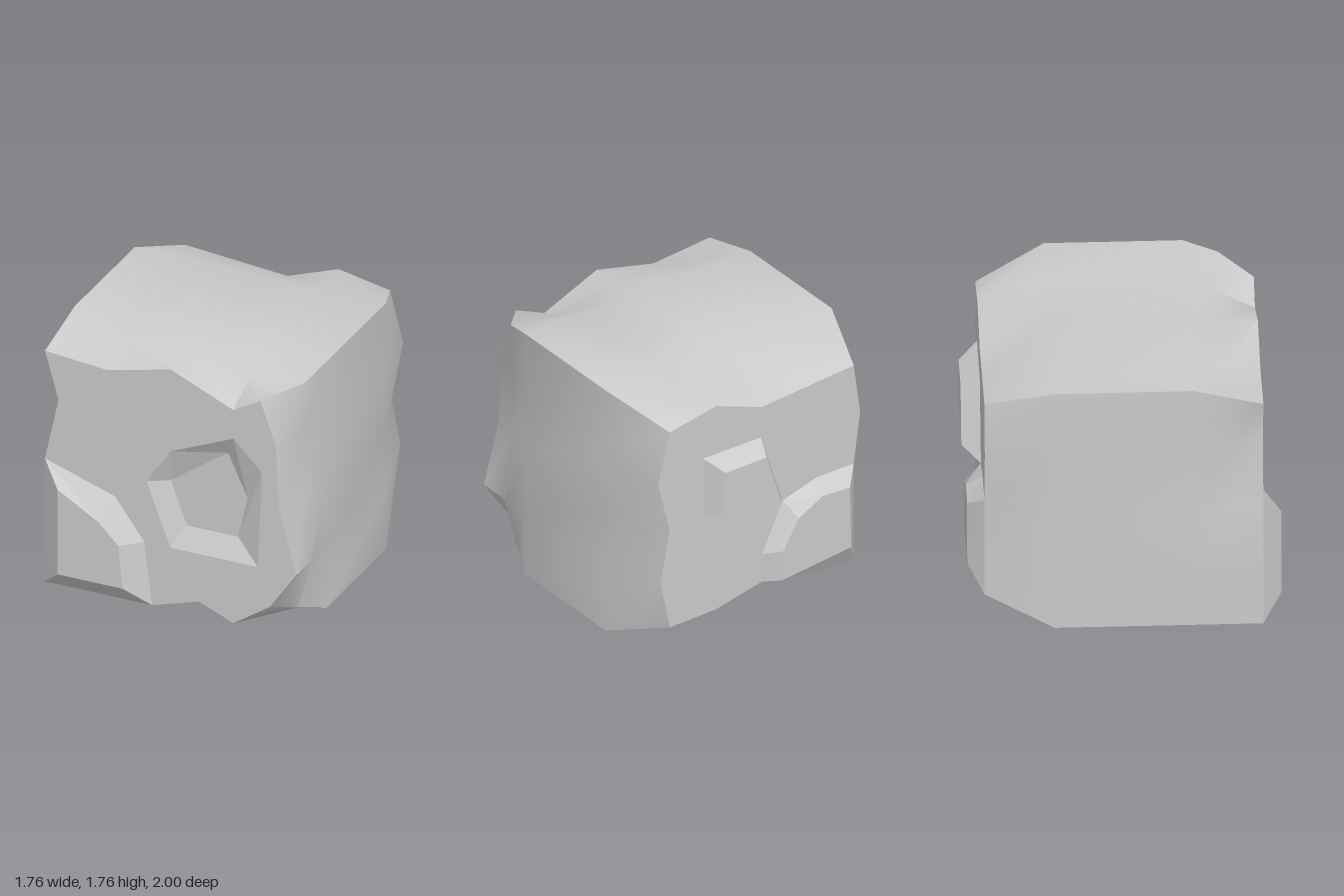
import * as THREE from 'three';
import { toCreasedNormals } from 'three/addons/utils/BufferGeometryUtils.js';

const material = new THREE.MeshStandardMaterial({ color: 0xcccccc });

// Lifts a 2D outline (counter-clockwise seen from +z) to depth z.
const ring = (points, z) => points.map(([x, y]) => new THREE.Vector3(x, y, z));

function toGeometry(triangles) {
  const geometry = new THREE.BufferGeometry().setFromPoints(triangles);
  geometry.computeVertexNormals();
  return geometry;
}

// Wall between two rings of equal length.
function band(a, b) {
  const out = [];
  a.forEach((p, i) => {
    const j = (i + 1) % a.length;
    out.push(p, b[i], b[j], p, b[j], a[j]);
  });
  return out;
}

// Flat face filling a ring, facing +z or -z.
function cap(outline, facing, holes = []) {
  const flat = (r) => r.map((p) => new THREE.Vector2(p.x, p.y));
  const all = [outline, ...holes].flat();
  const out = [];
  for (const [a, b, c] of THREE.ShapeUtils.triangulateShape(flat(outline), holes.map(flat))) {
    const [p, q, r] = [all[a], all[b], all[c]];
    const area = (q.x - p.x) * (r.y - p.y) - (q.y - p.y) * (r.x - p.x);
    out.push(p, ...(area * facing > 0 ? [q, r] : [r, q]));
  }
  return out;
}

export function createModel() {
  const group = new THREE.Group();
  const add = (name, geometry) => {
    const mesh = new THREE.Mesh(geometry, material);
    mesh.name = name;
    group.add(mesh);
  };

  // Outlines of the block: chipped front, square middle, narrowed back.
  const S = 0.88;
  const frontOutline = [
    [-S, 0], [-0.13, 0], [0.2, 0.1], [0.44, 0],
    [0.695, 0.175], [S, 0.44], [0.76, 0.88], [0.74, 1.32],
    [0.63, 1.635], [0.44, 1.525], [0, 1.715], [-0.44, 1.61],
    [-S, 1.65], [-0.785, 1.32], [-S, 0.88], [-S, 0.44]];
  const backOutline = [
    [-0.735, 0.17], [-0.38, 0.215], [-0.02, 0.26], [0.34, 0.18],
    [0.7, 0.17], [0.77, 0.52], [0.7, 0.88], [0.79, 1.245],
    [0.7, 1.6], [0.34, 1.67], [-0.02, 1.54], [-0.38, 1.57],
    [-0.735, 1.6], [-0.785, 1.245], [-0.735, 0.88], [-0.735, 0.52]];
  const square = [];
  const corners = [[-S, 0], [S, 0], [S, 2 * S], [-S, 2 * S]];
  corners.forEach(([x, y], i) => {
    const [nx, ny] = corners[(i + 1) % 4];
    for (let k = 0; k < 4; k++) square.push([x + (nx - x) * k / 4, y + (ny - y) * k / 4]);
  });
  const between = frontOutline.map(([x, y], i) => [(x + square[i][0]) / 2, (y + square[i][1]) / 2]);
  between[8] = [0.83, 1.7];

  const rings = [
    ring(frontOutline, S), ring(between, 0.66), ring(square, 0.44),
    ring(square, -0.44), ring(backOutline, -S)];
  const sides = rings.slice(1).flatMap((r, i) => band(rings[i], r));
  add('blockSides', toCreasedNormals(toGeometry(sides), 0.65));

  // Sunken dent in the front face.
  const dentRim = ring([[0.44, 1.32], [0, 1.13], [-0.17, 0.88], [0, 0.44], [0.61, 0.44], [0.64, 1.12]], S);
  const dentFloor = ring([[0.37, 1.17], [-0.025, 0.89], [-0.03, 0.88], [0.08, 0.585], [0.44, 0.585], [0.505, 0.88]], 0.81);
  add('frontFace', toGeometry(cap(rings[0], 1, [dentRim])));
  add('frontDent', toGeometry([...band(dentFloor, dentRim), ...cap(dentFloor, 1)]));
  add('backFace', toGeometry(cap(rings[4], -1)));

  // Raised chip at the lower front corner.
  const frontBase = ring([[-S, 0], [-0.13, 0], [-0.185, 0.44], [-0.39, 0.72], [-S, 0.88]], S);
  const frontTop = ring([[-0.735, 0.14], [-0.28, 0.14], [-0.31, 0.44], [-0.45, 0.58], [-0.735, 0.745]], 1);
  add('frontChip', toGeometry([...band(frontTop, frontBase), ...cap(frontTop, 1)]));

  // Two raised chips on the back.
  const backChips = {
    lowerBackChip: [
      [[-0.735, 0.17], [-0.02, 0.26], [-0.02, 0.46], [-0.18, 0.8], [-0.453, 0.88], [-0.735, 0.88]],
      [[-0.64, 0.35], [-0.1, 0.29], [-0.11, 0.5], [-0.23, 0.7], [-0.42, 0.8], [-0.63, 0.79]], -0.985],
    upperBackChip: [
      [[-0.18, 0.8], [0.44, 0.88], [0.44, 1.32], [-0.01, 1.32]],
      [[-0.085, 0.88], [0.35, 0.93], [0.35, 1.24], [0.03, 1.245]], -1],
  };
  for (const [name, [base, top, z]] of Object.entries(backChips)) {
    const outer = ring(base, -S), inner = ring(top, z);
    add(name, toGeometry([...band(outer, inner), ...cap(inner, -1)]));
  }
  return group;
}
